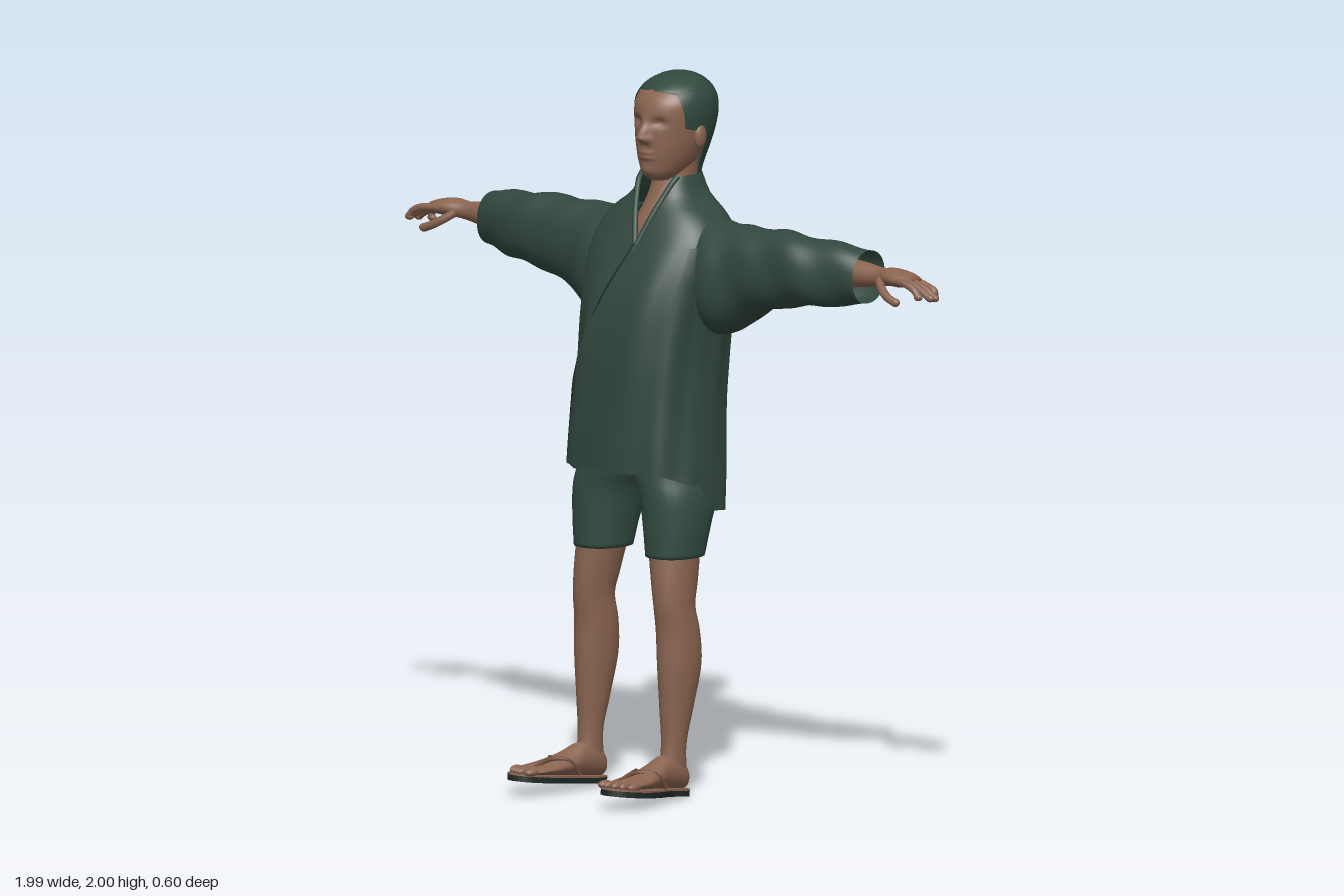
import * as THREE from 'three';

const mat = (name, color, side = THREE.DoubleSide) => {
  const m = new THREE.MeshStandardMaterial({ color, side });
  m.name = name;
  return m;
};

// Axis maps: (t along the loft, a, b across it) to x, y, z
const AXES = {
  x: (t, a, b) => [t, b, a],
  y: (t, a, b) => [a, t, b],
  z: (t, a, b) => [b, a, t],
};

// Smooth lookup in rows of [t, aMin, aMax, bMin, bMax]
function profile(rows) {
  const it = new THREE.CubicInterpolant(rows.map(r => r[0]), rows.flatMap(r => r.slice(1)), 4);
  return t => {
    const [a0, a1, b0, b1] = it.evaluate(t);
    return { ca: (a0 + a1) / 2, ra: (a1 - a0) / 2, cb: (b0 + b1) / 2, rb: (b1 - b0) / 2 };
  };
}
const pw = (v, p) => Math.sign(v) * Math.abs(v) ** p;
function ringPoint(axis, prof, t, th, p = 1, off = 0) {
  const r = prof(t);
  return AXES[axis](t, r.ca + (r.ra + off) * pw(Math.cos(th), p), r.cb + (r.rb + off) * pw(Math.sin(th), p));
}

// Surface through elliptical rings; arc(t) opens the ring, tAt(v, u) bends its ends
function loft(axis, rows, { n = 32, steps = 28, p = 1, arc, tAt, off = () => 0, caps = true } = {}) {
  const prof = profile(rows), lo = rows[0][0], hi = rows.at(-1)[0];
  const cols = arc ? n + 1 : n, pos = [], idx = [];
  for (let i = 0; i <= steps; i++) for (let j = 0; j < cols; j++) {
    const u = j / n, v = i / steps, t = tAt ? tAt(v, u) : lo + (hi - lo) * v;
    const [s, e] = arc ? arc(t, prof) : [0, Math.PI * 2], th = s + (e - s) * u;
    pos.push(...ringPoint(axis, prof, t, th, p, off(u, t, th)));
  }
  for (let i = 0; i < steps; i++) for (let j = 0; j < n; j++) {
    const k = (j + 1) % cols, a = i * cols + j, b = i * cols + k;
    idx.push(a, a + cols, b, b, a + cols, b + cols);
  }
  if (caps && !arc) for (const i of [0, steps]) {
    const t = i ? hi : lo, r = prof(t), c = pos.length / 3;
    pos.push(...AXES[axis](t, r.ca, r.cb));
    for (let j = 0; j < n; j++) {
      const a = i * cols + j, b = i * cols + (j + 1) % n;
      idx.push(c, i ? b : a, i ? a : b);
    }
  }
  const g = new THREE.BufferGeometry();
  g.setAttribute('position', new THREE.Float32BufferAttribute(pos, 3));
  g.setIndex(idx);
  g.computeVertexNormals();
  return g;
}

// Mirror image across x = 0 with the face order kept outward
function mirrored(geo) {
  const g = geo.clone().toNonIndexed();
  for (const key of ['position', 'normal']) {
    const at = g.attributes[key];
    for (let i = 0; i < at.count; i += 3) {
      const v = [0, 2, 1].map(k => new THREE.Vector3().fromBufferAttribute(at, i + k));
      v.forEach((q, k) => at.setXYZ(i + k, -q.x, q.y, q.z));
    }
  }
  return g;
}

const V = a => a.map(q => new THREE.Vector3(...q));
const tube = (pts, r, n = 24) => new THREE.TubeGeometry(new THREE.CatmullRomCurve3(V(pts)), n, r, 8);
const ball = (x, y, z, sx, sy, sz) => new THREE.SphereGeometry(1, 20, 14).scale(sx, sy, sz).translate(x, y, z);
const lerp = THREE.MathUtils.lerp, clamp = THREE.MathUtils.clamp;
const ramp = (t, a, b) => clamp((t - a) / (b - a), 0, 1);

export function createModel() {
  const model = new THREE.Group();
  model.name = 'robedMan';
  const skin = mat('skin', 0x8a6450), cloth = mat('jacket cloth', 0x32483e);
  const hairM = mat('hair', 0x30483d), shortsM = mat('shorts cloth', 0x334d42);
  const dark = mat('dark sole', 0x1d2924), strapM = mat('sandal strap', 0x6e4b3a);
  const add = (name, geo, m) => {
    const mesh = new THREE.Mesh(geo, m);
    mesh.name = name;
    model.add(mesh);
  };
  const pair = (name, geo, m) => {
    add(name + 'Left', geo, m);
    add(name + 'Right', mirrored(geo), m);
  };

  // Jacket body, open in a V at the neck, with a longer back panel
  const P = 0.78, TAU = Math.PI * 2;
  const torso = [
    [0.75, -0.235, 0.23, -0.215, 0.1], [0.9, -0.225, 0.222, -0.23, 0.107], [1.1, -0.212, 0.208, -0.245, 0.1],
    [1.25, -0.207, 0.203, -0.268, 0.093], [1.4, -0.21, 0.21, -0.28, 0.067], [1.5, -0.218, 0.218, -0.283, 0.028],
    [1.57, -0.205, 0.205, -0.275, -0.008], [1.62, -0.165, 0.165, -0.262, -0.035],
    [1.66, -0.11, 0.11, -0.25, -0.058], [1.72, -0.078, 0.078, -0.235, -0.085]];
  const torsoProf = profile(torso);
  const angleAt = (x, r) => Math.acos(clamp(pw((x - r.ca) / r.ra, 1 / P), -1, 1));
  const vLeft = t => lerp(0.02, 0.066, ramp(t, 1.53, 1.72)), vRight = t => lerp(0.02, -0.07, ramp(t, 1.53, 1.72));
  const fold = (u, t, th) => 0.004 * Math.sin(th * 9 + t * 7) * (1 - ramp(t, 1.3, 1.6)) * ramp(Math.abs(Math.sin(th)), 0, 0.4);
  const hem = u => {
    const back = ramp(0.27 - Math.abs(u - 0.5), 0, 0.02);
    return lerp(0.915 - 0.04 * ramp(0.5 - Math.abs(u - 0.5), 0.1, 0.23), 0.81 - 0.04 * ramp(0.25 - Math.abs(u - 0.5), 0, 0.2), back);
  };
  add('jacketBody', loft('y', torso, {
    n: 96, steps: 48, p: P, off: fold,
    tAt: (v, u) => lerp(hem(u), 1.72, v),
    arc: (t, f) => [angleAt(vRight(t), f(t)), TAU + angleAt(vLeft(t), f(t))],
  }), cloth);

  // Overlapping front flap with a dark edge line
  const edgeX = t => (t > 1.13 ? lerp(-0.16, 0.02, ramp(t, 1.13, 1.54)) : lerp(-0.178, -0.16, ramp(t, 0.92, 1.13)));
  add('frontFlap', loft('y', torso, {
    n: 40, steps: 36, p: P, tAt: v => lerp(0.912, 1.54, v),
    arc: (t, f) => [0.3, angleAt(edgeX(t), f(t))],
    off: (u, t, th) => fold(u, t, th) + 0.009 * ramp(u, 0, 0.3),
  }), cloth);
  const edge = (xAt, a, b, off) => Array.from({ length: 12 }, (_, i) => {
    const t = lerp(a, b, i / 11);
    return ringPoint('y', torsoProf, t, angleAt(xAt(t), torsoProf(t)), P, off);
  });
  add('flapEdge', tube(edge(edgeX, 0.915, 1.54, 0.008), 0.003, 40), dark);
  add('collarLeft', tube(edge(vLeft, 1.52, 1.72, 0.001), 0.008), cloth);
  add('collarRight', tube(edge(vRight, 1.52, 1.72, 0.001), 0.008), cloth);

  // Wide sleeves, open at the cuff
  pair('sleeve', loft('x', [
    [0.1, -0.25, -0.07, 1.4, 1.62], [0.17, -0.27, -0.04, 1.3, 1.612], [0.23, -0.272, -0.03, 1.292, 1.602],
    [0.3, -0.25, -0.048, 1.332, 1.602], [0.4, -0.235, -0.06, 1.382, 1.606], [0.5, -0.228, -0.066, 1.4, 1.602],
    [0.6, -0.24, -0.09, 1.413, 1.592], [0.71, -0.256, -0.132, 1.425, 1.58]],
  { caps: false, p: 0.9, steps: 40, off: (u, t, th) => 0.004 * Math.sin(t * 38 + th * 2) * ramp(t, 0.2, 0.3) }), cloth);

  // Forearms, hands and fingers
  pair('forearmAndHand', loft('x', [
    [0.58, -0.225, -0.135, 1.465, 1.555], [0.72, -0.208, -0.138, 1.478, 1.548], [0.78, -0.203, -0.145, 1.488, 1.54],
    [0.83, -0.21, -0.128, 1.495, 1.545], [0.88, -0.212, -0.122, 1.497, 1.538], [0.905, -0.2, -0.135, 1.505, 1.53]]), skin);
  const finger = (name, pts, r) => {
    pair(name, tube(pts, r, 12), skin);
    pair(name + 'Tip', ball(...pts.at(-1), r * 1.3, r, r), skin);
  };
  [0.962, 0.982, 0.975, 0.95].forEach((tip, i) => {
    const z = -0.133 - i * 0.022, s = -0.172 + (z + 0.172) * 1.2, d = i * 0.004;
    finger('finger' + (i + 1), [[0.87, 1.518, z], [0.915, 1.515 - d, s], [0.95, 1.5 - d, s], [tip, 1.484 - d, s]], 0.0105);
  });
  finger('thumb', [[0.8, 1.512, -0.14], [0.835, 1.488, -0.117], [0.865, 1.472, -0.108], [0.89, 1.463, -0.108]], 0.012);

  // Neck and chest inside the collar
  add('neck', loft('y', [
    [1.46, -0.13, 0.13, -0.25, 0.015], [1.52, -0.11, 0.11, -0.245, -0.005], [1.6, -0.08, 0.08, -0.235, -0.05],
    [1.66, -0.064, 0.064, -0.23, -0.088], [1.72, -0.06, 0.06, -0.235, -0.11], [1.79, -0.065, 0.065, -0.24, -0.11]]), skin);

  // Head, with nose, eye sockets, lips and chin pushed out of the oval
  const head = loft('y', [
    [1.705, -0.028, 0.028, -0.14, -0.08], [1.72, -0.046, 0.046, -0.18, -0.062], [1.75, -0.067, 0.067, -0.225, -0.053],
    [1.8, -0.087, 0.087, -0.262, -0.05], [1.85, -0.098, 0.098, -0.285, -0.05], [1.89, -0.103, 0.103, -0.293, -0.05],
    [1.93, -0.102, 0.102, -0.288, -0.062], [1.96, -0.085, 0.085, -0.268, -0.09], [1.985, -0.045, 0.045, -0.23, -0.14]],
  { n: 96, steps: 64, p: 0.95 });
  const hp = head.attributes.position, bump = (d, w) => Math.exp(-((d / w) ** 2));
  for (let i = 0; i < hp.count; i++) {
    const x = hp.getX(i), y = hp.getY(i), z = hp.getZ(i);
    if (z < -0.13) continue;
    const nose = 0.032 * bump(x, 0.013) * (y < 1.83 ? bump(y - 1.83, 0.012) : bump(y - 1.83, 0.035));
    const nostrils = 0.012 * bump(Math.abs(x) - 0.013, 0.008) * bump(y - 1.822, 0.01);
    const eyes = -0.013 * bump(Math.abs(x) - 0.04, 0.02) * bump(y - 1.872, 0.013);
    const lips = 0.007 * bump(x, 0.025) * (bump(y - 1.786, 0.006) + bump(y - 1.772, 0.006));
    const chin = 0.005 * bump(x, 0.025) * bump(y - 1.735, 0.015);
    hp.setZ(i, z + nose + nostrils + eyes + lips + chin);
  }
  head.computeVertexNormals();
  add('head', head, skin);
  pair('ear', ball(0.1, 1.83, -0.165, 0.014, 0.034, 0.021), skin);

  // Short hair, open around the face
  const hairline = t => (t < 1.855 ? lerp(-0.19, -0.112, ramp(t, 1.838, 1.855))
    : t < 1.95 ? lerp(-0.112, -0.1, ramp(t, 1.855, 1.95)) : lerp(-0.1, 0, ramp(t, 1.95, 1.975)));
  add('hair', loft('y', [
    [1.68, -0.058, 0.058, -0.238, -0.13], [1.74, -0.072, 0.072, -0.252, -0.11], [1.8, -0.094, 0.094, -0.277, -0.06],
    [1.85, -0.105, 0.105, -0.295, -0.045], [1.9, -0.11, 0.11, -0.302, -0.045], [1.94, -0.104, 0.104, -0.293, -0.062],
    [1.97, -0.084, 0.084, -0.27, -0.092], [1.988, -0.055, 0.055, -0.243, -0.128], [1.997, -0.028, 0.028, -0.215, -0.158],
    [2, -0.002, 0.002, -0.188, -0.184]], {
    n: 64, steps: 80,
    arc: (t, f) => {
      const r = f(t), a = Math.asin(clamp((hairline(t) - r.cb) / r.rb, -1, 1));
      return [Math.PI - a, TAU + a];
    },
  }), hairM);

  // Shorts and legs
  pair('shortsLeg', loft('y', [
    [0.675, 0.06, 0.21, -0.112, 0.06], [0.76, 0.047, 0.219, -0.135, 0.063], [0.85, 0.026, 0.221, -0.17, 0.066],
    [0.9, -0.002, 0.21, -0.185, 0.066], [1.0, -0.02, 0.195, -0.19, 0.06]], { p: 0.92 }), shortsM);
  pair('leg', loft('y', [
    [0.06, 0.124, 0.188, -0.042, 0.055], [0.15, 0.125, 0.19, -0.035, 0.042], [0.25, 0.115, 0.199, -0.06, 0.045],
    [0.38, 0.102, 0.211, -0.09, 0.05], [0.47, 0.099, 0.209, -0.084, 0.051], [0.54, 0.1, 0.204, -0.07, 0.06],
    [0.6, 0.089, 0.204, -0.083, 0.061], [0.7, 0.068, 0.204, -0.1, 0.054], [0.76, 0.06, 0.205, -0.11, 0.05]], { steps: 40 }), skin);

  // Feet with toes
  pair('foot', loft('z', [
    [-0.046, 0.035, 0.065, 0.143, 0.17], [-0.032, 0.023, 0.095, 0.127, 0.183], [0, 0.026, 0.12, 0.122, 0.19],
    [0.05, 0.032, 0.125, 0.121, 0.194], [0.1, 0.038, 0.106, 0.12, 0.205], [0.17, 0.047, 0.087, 0.118, 0.223],
    [0.22, 0.054, 0.08, 0.122, 0.226], [0.25, 0.058, 0.074, 0.132, 0.216]]), skin);
  [0.272, 0.276, 0.268, 0.258, 0.243].forEach((z, i) =>
    pair('toe' + (i + 1), ball(0.139 + i * 0.02 + (i ? 0.005 : 0), 0.034 + z * 0.13, z - 0.01, i ? 0.0105 : 0.016, 0.012, 0.024), skin));

  // Flat sandals, tilted up towards the toes
  const outline = [[0.155, -0.05], [0.185, -0.032], [0.195, 0.05], [0.225, 0.13], [0.24, 0.21], [0.217, 0.277],
    [0.178, 0.3], [0.138, 0.28], [0.114, 0.2], [0.116, 0.1], [0.121, 0], [0.13, -0.036]];
  const curve = new THREE.CatmullRomCurve3(V(outline.map(q => [...q, 0])), true);
  const shape = new THREE.Shape(curve.getPoints(60).map(q => new THREE.Vector2(q.x, q.y)));
  const plate = (depth, top) => new THREE.ExtrudeGeometry(shape, { depth, bevelEnabled: false })
    .rotateX(Math.PI / 2).rotateX(-0.13).translate(0, top, 0);
  pair('sandalSole', plate(0.016, 0.023), dark);
  pair('sandalTop', plate(0.005, 0.028), skin);
  pair('sandalStrap', tube([[0.117, 0.045, 0.09], [0.128, 0.085, 0.12], [0.155, 0.092, 0.165], [0.16, 0.075, 0.225],
    [0.165, 0.092, 0.165], [0.2, 0.085, 0.12], [0.212, 0.045, 0.09]], 0.006, 48), strapM);

  return model;
}
